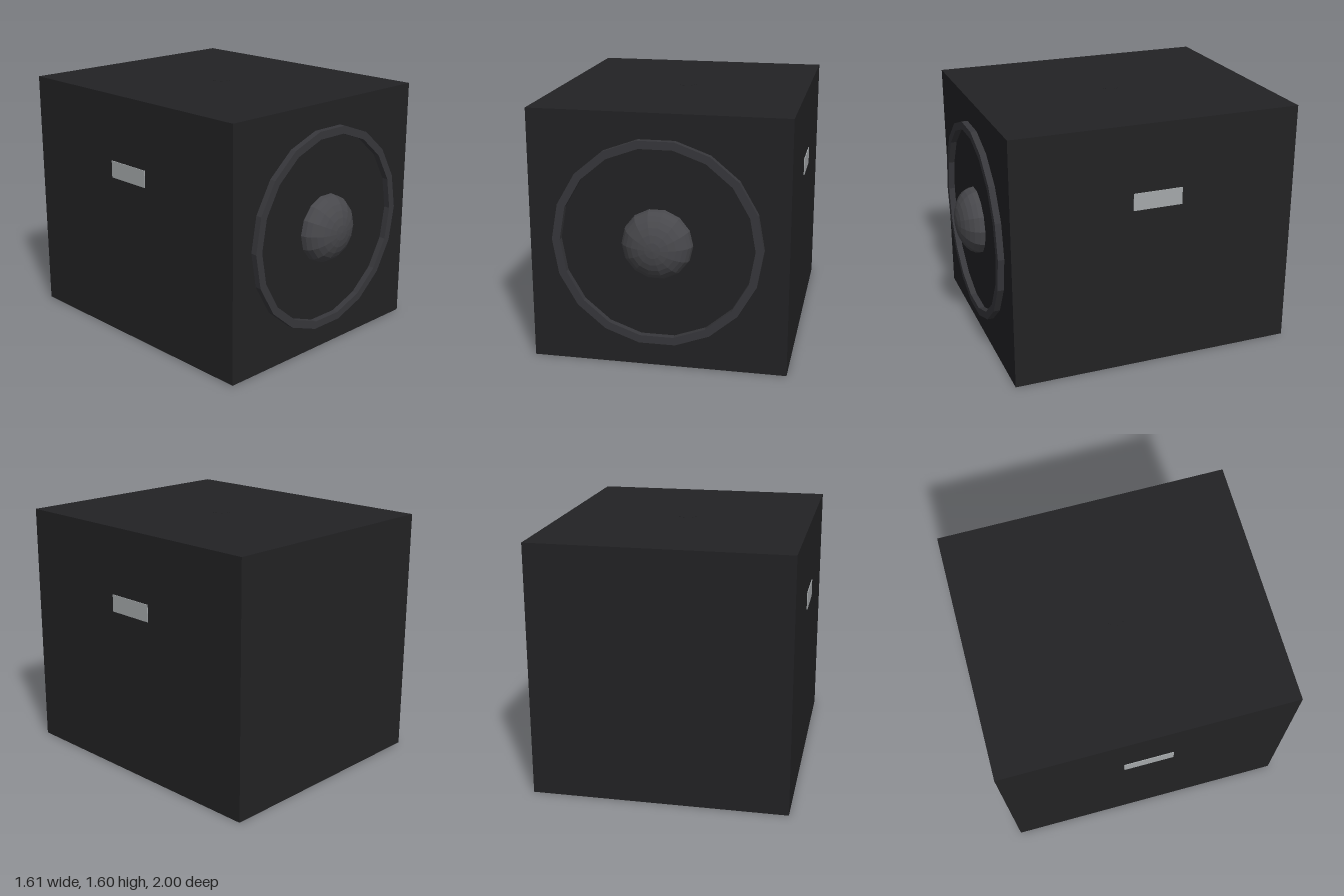
import * as THREE from 'three';

const paint = (color) => new THREE.MeshStandardMaterial({ color, flatShading: true });

export function createModel() {
  const model = new THREE.Group();
  model.name = 'subwoofer';
  const black = paint(0x222224);
  const rubber = paint(0x37373b);
  const domeGrey = paint(0x48484c);
  const metal = paint(0xa4a8aa);

  const add = (name, geometry, material, x, y, z) => {
    const mesh = new THREE.Mesh(geometry, material);
    mesh.name = name;
    mesh.position.set(x, y, z);
    model.add(mesh);
    return mesh;
  };

  const front = 0.86, axis = 0.8;

  // Cabinet
  add('cabinet', new THREE.BoxGeometry(1.6, 1.6, 1 + front), black, 0, axis, (front - 1) / 2);

  // Raised 18-sided ring around the driver
  const polygon = (Type, radius, sides) => new Type(
    Array.from({ length: sides }, (_, i) => {
      const a = (i / sides) * Math.PI * 2;
      return new THREE.Vector2(Math.cos(a) * radius, Math.sin(a) * radius);
    }));
  const ring = polygon(THREE.Shape, 0.65, 18);
  ring.holes.push(polygon(THREE.Path, 0.6, 18));
  add('driverRing', new THREE.ExtrudeGeometry(ring, { depth: 0.04, bevelEnabled: false }),
    rubber, 0, axis, front);

  // Flattened faceted dust cap, its pole facing forward
  const cap = new THREE.SphereGeometry(0.22, 14, 7, 0, Math.PI * 2, 0, Math.PI / 2);
  cap.rotateX(Math.PI / 2);
  cap.scale(1, 1, 0.14 / 0.22);
  add('dustCap', cap, domeGrey, 0, axis, front);

  // Handle plates, one on each side
  for (const [side, name] of [[1, 'leftHandle'], [-1, 'rightHandle']]) {
    add(name, new THREE.BoxGeometry(0.02, 0.11, 0.32), metal, side * 0.795, 1.115, -0.07);
  }

  // Nearly flush pole socket in the top
  add('poleSocket', new THREE.CylinderGeometry(0.06, 0.06, 0.02, 16), black, 0, 1.591, -0.07);

  return model;
}
